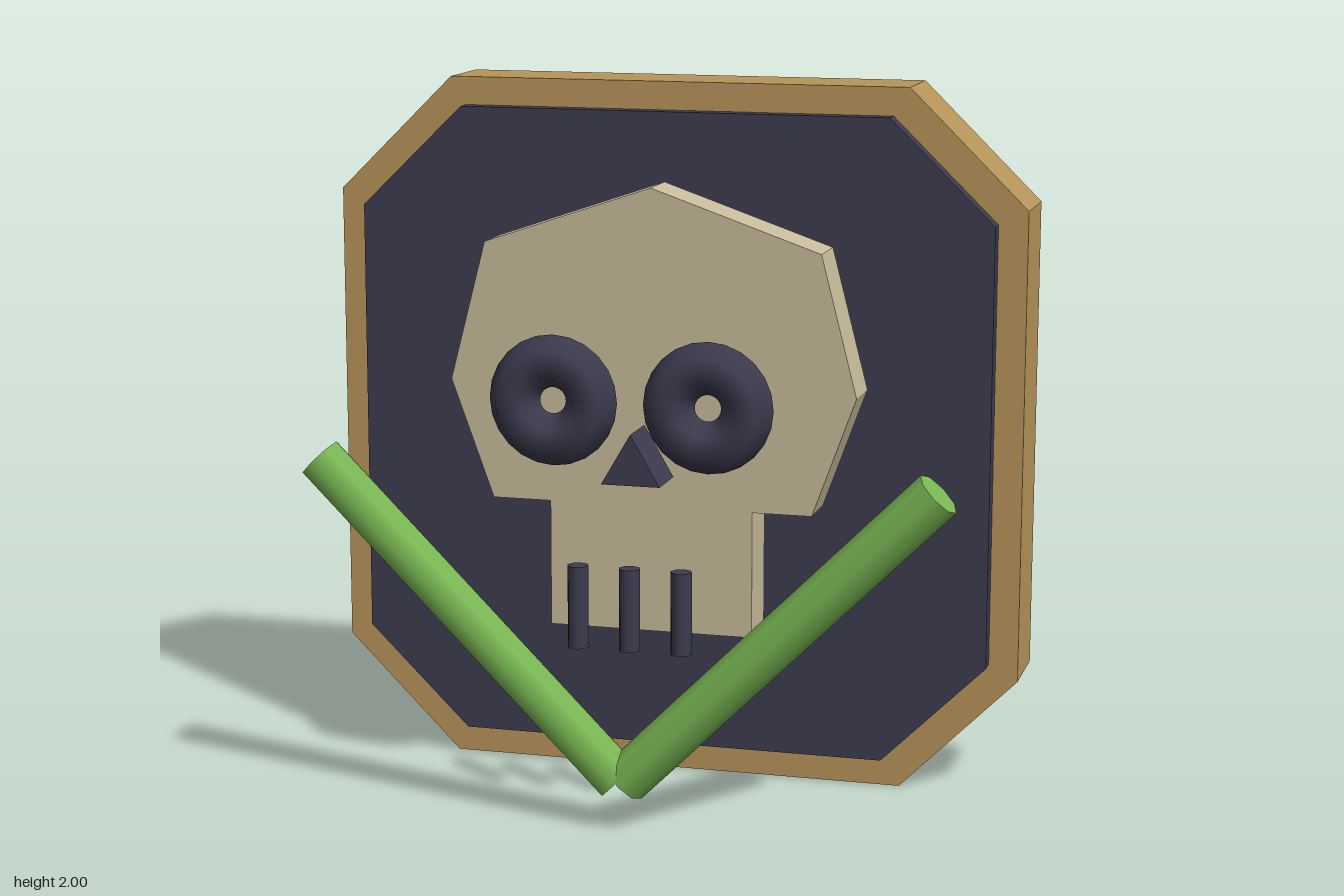
import * as THREE from 'three';

const material = (name, color) => {
  const m = new THREE.MeshStandardMaterial({ color });
  m.name = name;
  return m;
};

// Straight-sided plate between two depths; the half outline is mirrored across x = 0
function plate(name, half, z0, z1, mat) {
  const mirrored = half.filter(([x]) => x > 0).map(([x, y]) => [-x, y]).reverse();
  const shape = new THREE.Shape([...half, ...mirrored].map(([x, y]) => new THREE.Vector2(x, y)));
  const geo = new THREE.ExtrudeGeometry(shape, { depth: z1 - z0, bevelEnabled: false });
  geo.translate(0, 0, z0);
  const mesh = new THREE.Mesh(geo, mat);
  mesh.name = name;
  return mesh;
}

export function createModel() {
  const wood = material('golden wood', 0xb8965a);
  const slate = material('dark slate', 0x3d3c50);
  const bone = material('pale bone', 0xc9bd9b);
  const green = material('green', 0x7ab854);
  const model = new THREE.Group();
  model.name = 'skullPlaque';

  // Octagonal backing, inner panel and skull
  model.add(
    plate('backboard', [[0.665, 2], [1, 1.67], [1, 0.335], [0.665, 0]], -0.425, -0.2, wood),
    plate('panel', [[0.62, 1.92], [0.917, 1.63], [0.917, 0.38], [0.62, 0.087]], -0.2, -0.15, slate),
    plate('skull', [[0, 1.733], [0.48, 1.568], [0.582, 1.175], [0.46, 0.84], [0.292, 0.84], [0.292, 0.482]],
      -0.08, 0.065, bone),
    plate('nose', [[0, 1.085], [0.083, 0.943]], 0.128, 0.272, slate)
  );

  // Ring eyes and the two crossed stems
  const eyeGeo = new THREE.TorusGeometry(0.109, 0.0725, 6, 24);
  const stemGeo = new THREE.CylinderGeometry(0.068, 0.068, 1.212, 8);
  for (const side of [-1, 1]) {
    const label = side > 0 ? 'left' : 'right';
    const eye = new THREE.Mesh(eyeGeo, slate);
    eye.name = label + 'Eye';
    eye.position.set(side * 0.218, 1.17, 0.272);
    const stem = new THREE.Mesh(stemGeo, green);
    stem.name = label + 'Stem';
    stem.position.set(side * 0.437, 0.563, 0.36);
    stem.rotation.z = -side * Math.PI / 4;
    model.add(eye, stem);
  }

  // Tooth gaps
  const toothGeo = new THREE.CylinderGeometry(0.03, 0.03, 0.232, 8);
  for (const i of [-1, 0, 1]) {
    const tooth = new THREE.Mesh(toothGeo, slate);
    tooth.name = 'toothGap' + (i + 2);
    tooth.position.set(i * 0.147, 0.598, 0.28);
    model.add(tooth);
  }
  return model;
}
